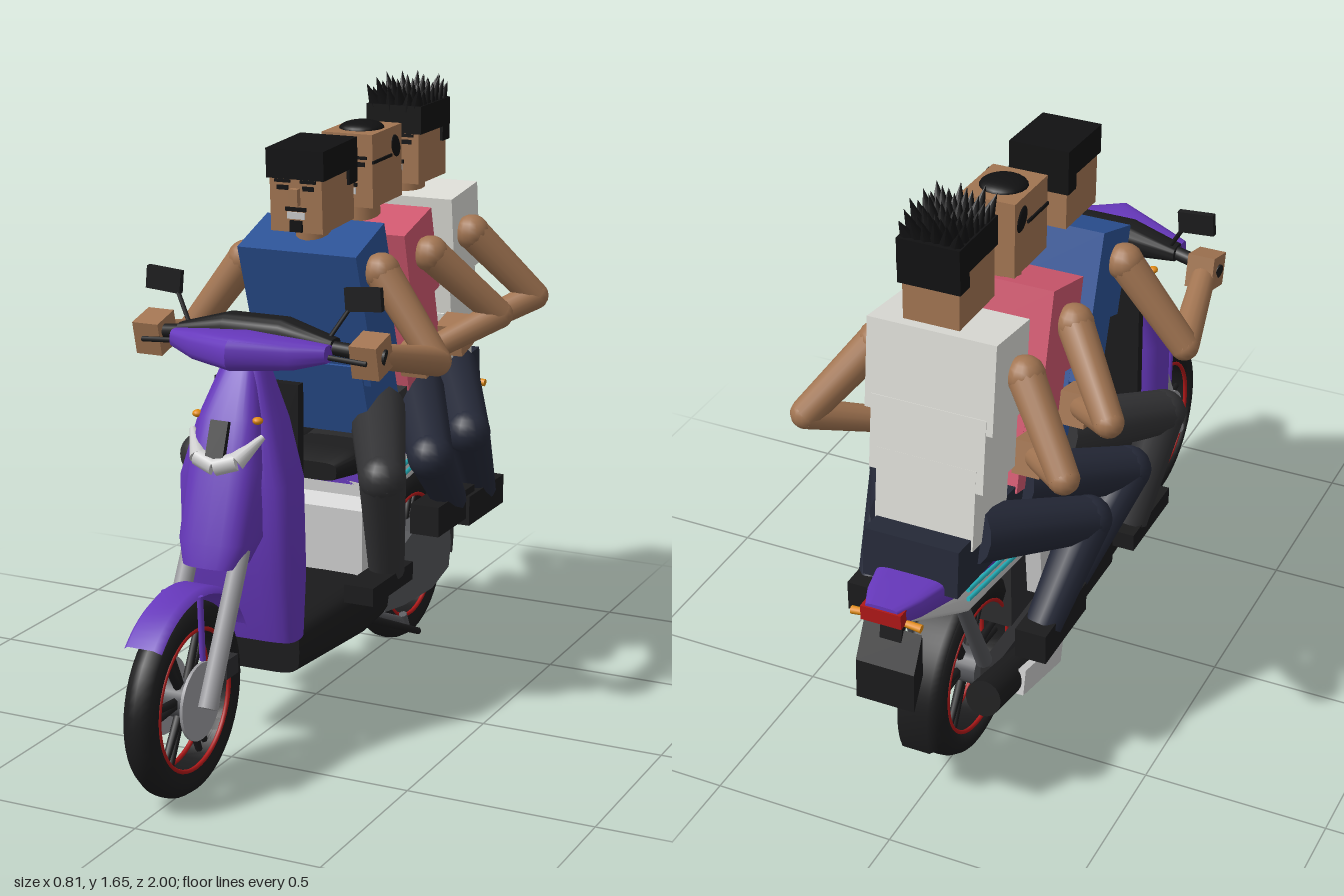
import * as THREE from 'three';
import { toCreasedNormals } from 'three/addons/utils/BufferGeometryUtils.js';

const PURPLE = 0x6638bb, BLACK = 0x1b1b1c, DARK = 0x2c2c2e, GREY = 0x55565a, STEEL = 0x9a9a9e;
const WHITE = 0xdededa, SKIN = 0xa27552, HAIR = 0x111112, NAVY = 0x252938, RED = 0xb01818, ORANGE = 0xe08a10;
const V = (x, y, z) => new THREE.Vector3(x, y, z);
const mats = {};
const mat = c => mats[c] ??= new THREE.MeshStandardMaterial({ color: c, side: THREE.DoubleSide });

function add(parent, name, geo, color, pos = [0, 0, 0], rot = [0, 0, 0]) {
  const m = new THREE.Mesh(geo, mat(color));
  m.name = name;
  m.position.set(...pos);
  m.rotation.set(...rot);
  parent.add(m);
  return m;
}
const box = (p, name, size, color, pos, rot) => add(p, name, new THREE.BoxGeometry(...size), color, pos, rot);

// Tapered cylinder from a to b
function rod(p, name, a, b, r1, r2, color, sides = 14) {
  const A = V(...a), B = V(...b), d = B.clone().sub(A);
  const m = add(p, name, new THREE.CylinderGeometry(r2, r1, d.length(), sides), color);
  m.position.copy(A.add(B).multiplyScalar(0.5));
  m.quaternion.setFromUnitVectors(V(0, 1, 0), d.normalize());
}

// Rounded-rectangle sections [t, halfWidth, v0, v1, centre] lofted along local z
function loft(sections, e = 0.5, n = 24) {
  const pos = [], idx = [];
  const pw = a => Math.sign(a) * Math.abs(a) ** e;
  for (const [t, w, v0, v1, c = 0] of sections)
    for (let i = 0; i < n; i++) {
      const a = (i / n) * Math.PI * 2;
      pos.push(c + w * pw(Math.cos(a)), (v0 + v1) / 2 + (v1 - v0) / 2 * pw(Math.sin(a)), t);
    }
  const last = (sections.length - 1) * n;
  for (let i = 0; i < n; i++) {
    const j = (i + 1) % n;
    for (let k = 0; k < last; k += n) idx.push(k + i, k + j, k + n + j, k + i, k + n + j, k + n + i);
    if (i > 0 && i < n - 1) idx.push(0, i + 1, i, last, last + i, last + i + 1);
  }
  const g = new THREE.BufferGeometry();
  g.setAttribute('position', new THREE.Float32BufferAttribute(pos, 3));
  g.setIndex(idx);
  return toCreasedNormals(g, 0.7);
}
// Loft upwards: sections [y, halfWidth, zFront, zBack]
const loftUp = (s, e) => loft(s.map(([y, w, f, b]) => [y, w, -f, -b]), e).rotateX(-Math.PI / 2);
// Loft across x: sections [x, halfDepth, y0, y1, z]
const loftAcross = s => loft(s.map(([x, w, a, b, z]) => [x, w, a, b, -z]), 0.7).rotateY(Math.PI / 2);
// Side outline of [z, y] points extruded across x
function plate(pts, x0, x1) {
  const s = new THREE.Shape(pts.map(([z, y]) => new THREE.Vector2(-z, y)));
  return new THREE.ExtrudeGeometry(s, { depth: x1 - x0, bevelEnabled: false }).rotateY(Math.PI / 2).translate(x0, 0, 0);
}
// Curved mudguard around an axle, angles measured upwards from the front
function guard(r, w, a0, a1) {
  const prof = [[-w, -0.018], [-w * 0.7, 0], [w * 0.7, 0], [w, -0.018]].map(([x, y]) => new THREE.Vector2(r + y, x));
  return new THREE.LatheGeometry(prof, 24, a0, a1 - a0).rotateZ(Math.PI / 2);
}

function wheel(p, name, z, w) {
  const g = new THREE.Group();
  g.name = name;
  g.position.set(0, 0.255, z);
  p.add(g);
  const tyre = [[0.185, -w * 0.8], [0.21, -w], [0.235, -w * 0.85], [0.248, -w * 0.4], [0.25, 0],
    [0.248, w * 0.4], [0.235, w * 0.85], [0.21, w], [0.185, w * 0.8], [0.185, -w * 0.8]];
  add(g, 'tyre', new THREE.LatheGeometry(tyre.map(q => new THREE.Vector2(...q)), 48).rotateZ(Math.PI / 2), BLACK);
  for (const s of [-1, 1])
    add(g, 'rimStripe', new THREE.TorusGeometry(0.18, 0.006, 6, 48), RED, [s * w * 0.75, 0, 0], [0, Math.PI / 2, 0]);
  add(g, 'rim', new THREE.CylinderGeometry(0.185, 0.185, w * 1.5, 48, 1, true).rotateZ(Math.PI / 2), BLACK);
  add(g, 'hub', new THREE.CylinderGeometry(0.05, 0.05, w * 2, 20).rotateZ(Math.PI / 2), GREY);
  for (let i = 0; i < 12; i++) {
    const a = (Math.floor(i / 2) / 6) * Math.PI * 2 + (i % 2 ? 0.09 : -0.09);
    rod(g, 'spoke', [0, 0.04 * Math.sin(a), 0.04 * Math.cos(a)], [0, 0.182 * Math.sin(a), 0.182 * Math.cos(a)], 0.012, 0.009, BLACK, 6);
  }
  return g;
}

function buildScooter(p) {
  // Front end
  const fw = wheel(p, 'frontWheel', 0.75, 0.042);
  for (const x of [-0.048, 0.048])
    add(fw, 'brakeDisc', new THREE.CylinderGeometry(0.1, 0.1, 0.008, 28).rotateZ(Math.PI / 2), STEEL, [x, 0, 0]);
  add(p, 'frontMudguard', guard(0.288, 0.052, 0.76, 2.72), PURPLE, [0, 0.255, 0.75]);
  box(p, 'brakeCaliper', [0.03, 0.05, 0.06], DARK, [0.06, 0.31, 0.63]);
  for (const s of [-1, 1]) {
    rod(p, 'forkLeg', [s * 0.07, 0.24, 0.755], [s * 0.07, 0.6, 0.57], 0.026, 0.024, STEEL);
    rod(p, 'mudguardStay', [s * 0.05, 0.36, 0.74], [s * 0.05, 0.53, 0.75], 0.008, 0.008, PURPLE);
  }
  add(p, 'legShield', loftUp([[0.32, 0.15, 0.455, 0.35], [0.5, 0.16, 0.5, 0.34], [0.75, 0.155, 0.52, 0.34],
    [0.9, 0.11, 0.5, 0.34], [1.04, 0.055, 0.45, 0.36]]), PURPLE);
  add(p, 'noseCowl', loftUp([[0.56, 0.08, 0.64, 0.5], [0.62, 0.1, 0.63, 0.45], [0.8, 0.1, 0.575, 0.4],
    [0.92, 0.085, 0.535, 0.4], [1.04, 0.045, 0.46, 0.38]], 0.65), PURPLE);
  box(p, 'innerPanel', [0.24, 0.66, 0.03], BLACK, [0, 0.65, 0.335]);
  box(p, 'noseGrille', [0.05, 0.12, 0.03], BLACK, [0, 0.86, 0.555], [-0.35, 0, 0]);
  for (const s of [-1, 1]) {
    rod(p, 'headlightInner', [0, 0.808, 0.572], [s * 0.055, 0.825, 0.56], 0.024, 0.024, WHITE);
    rod(p, 'headlightOuter', [s * 0.052, 0.824, 0.56], [s * 0.1, 0.88, 0.505], 0.025, 0.008, WHITE);
    add(p, 'frontIndicator', new THREE.SphereGeometry(0.014, 12, 8).scale(1, 0.7, 1), ORANGE, [s * 0.085, 0.92, 0.505]);
  }
  // Handlebar and mirrors
  add(p, 'handlebarCowl', loftAcross([[-0.22, 0.025, 1.055, 1.1, 0.38], [-0.14, 0.05, 1.035, 1.11, 0.4],
    [0, 0.08, 1.03, 1.125, 0.44], [0.14, 0.05, 1.035, 1.11, 0.4], [0.22, 0.025, 1.055, 1.1, 0.38]]), PURPLE);
  add(p, 'dashboard', loftAcross([[-0.22, 0.03, 1.07, 1.11, 0.34], [-0.08, 0.05, 1.06, 1.15, 0.34],
    [0.08, 0.05, 1.06, 1.15, 0.34], [0.22, 0.03, 1.07, 1.11, 0.34]]), BLACK);
  for (const s of [-1, 1]) {
    rod(p, 'handGrip', [s * 0.18, 1.09, 0.35], [s * 0.35, 1.07, 0.32], 0.018, 0.02, BLACK);
    rod(p, 'mirrorStem', [s * 0.19, 1.09, 0.34], [s * 0.25, 1.19, 0.31], 0.006, 0.006, BLACK, 8);
    box(p, 'mirror', [0.1, 0.06, 0.018], BLACK, [s * 0.285, 1.21, 0.31], [0, 0, s * 0.08]);
    rod(p, 'brakeLever', [s * 0.2, 1.07, 0.38], [s * 0.32, 1.06, 0.37], 0.007, 0.007, BLACK, 8);
  }
  // Floor, engine and body panels
  add(p, 'floorboard', loft([[-0.2, 0.13, 0.19, 0.345], [0, 0.155, 0.195, 0.35], [0.405, 0.15, 0.22, 0.35]], 0.4), BLACK);
  add(p, 'underseatPanel', plate([[-0.06, 0.34], [-0.06, 0.53], [-0.13, 0.58], [-0.32, 0.58], [-0.3, 0.34]], -0.11, 0.11), WHITE);
  box(p, 'engineBlock', [0.13, 0.25, 0.2], DARK, [0, 0.41, -0.3]);
  add(p, 'driveCover', plate([[-0.17, 0.21], [-0.17, 0.33], [-0.36, 0.39], [-0.56, 0.38], [-0.62, 0.35], [-0.635, 0.28],
    [-0.62, 0.21], [-0.5, 0.18], [-0.3, 0.19]], 0.055, 0.13), GREY);
  box(p, 'swingArm', [0.04, 0.06, 0.36], DARK, [-0.08, 0.26, -0.4]);
  wheel(p, 'rearWheel', -0.55, 0.05);
  add(p, 'rearMudguard', guard(0.3, 0.055, 1.8, 3.4), BLACK, [0, 0.255, -0.55]);
  add(p, 'whiteFairing', loft([[-0.95, 0.04, 0.67, 0.7], [-0.74, 0.115, 0.575, 0.69], [-0.3, 0.13, 0.54, 0.63],
    [-0.1, 0.1, 0.53, 0.6]], 0.4), WHITE);
  add(p, 'tailFairing', loft([[-0.99, 0.045, 0.69, 0.74], [-0.92, 0.075, 0.675, 0.74], [-0.8, 0.105, 0.655, 0.735],
    [-0.5, 0.13, 0.625, 0.7], [-0.1, 0.1, 0.59, 0.66]], 0.4), PURPLE);
  add(p, 'seat', loft([[-0.76, 0.09, 0.68, 0.75], [-0.4, 0.12, 0.64, 0.74], [-0.05, 0.11, 0.63, 0.71], [0.02, 0.07, 0.63, 0.68]]), BLACK);
  for (const s of [-1, 1]) {
    for (const dy of [-0.014, 0.014])
      rod(p, 'sideStripe', [s * 0.13, 0.59 + dy, -0.27], [s * 0.119, 0.655 + dy, -0.76], 0.007, 0.006, 0x25b5c0, 6);
    rod(p, 'rearShock', [s * 0.09, 0.34, -0.62], [s * 0.09, 0.6, -0.74], 0.022, 0.018, GREY);
    rod(p, 'rearIndicator', [s * 0.04, 0.69, -0.965], [s * 0.095, 0.685, -0.965], 0.009, 0.011, ORANGE, 10);
    rod(p, 'centreStandLeg', [s * 0.06, 0.21, -0.15], [s * 0.09, 0.12, -0.36], 0.012, 0.012, GREY, 8);
    rod(p, 'centreStandFoot', [s * 0.1, 0.14, -0.36], [s * 0.1, 0.1, -0.38], 0.012, 0.012, GREY, 8);
  }
  rod(p, 'centreStandBar', [-0.1, 0.12, -0.36], [0.1, 0.12, -0.36], 0.012, 0.012, GREY, 8);
  rod(p, 'sideStand', [0.12, 0.21, -0.1], [0.175, 0.12, -0.3], 0.012, 0.01, BLACK, 8);
  box(p, 'tailLight', [0.11, 0.04, 0.03], RED, [0, 0.71, -0.98]);
  add(p, 'numberPlate', plate([[-0.935, 0.64], [-0.938, 0.52], [-0.99, 0.44], [-0.985, 0.55]], -0.08, 0.08), BLACK);
  box(p, 'plateBracket', [0.06, 0.1, 0.02], BLACK, [0, 0.64, -0.935], [0.2, 0, 0]);
  // Exhaust
  rod(p, 'exhaustPipe', [-0.08, 0.22, -0.15], [-0.17, 0.27, -0.42], 0.018, 0.02, DARK);
  rod(p, 'muffler', [-0.175, 0.29, -0.42], [-0.18, 0.385, -0.81], 0.042, 0.048, BLACK, 18);
  box(p, 'heatShield', [0.02, 0.07, 0.24], WHITE, [-0.222, 0.325, -0.56], [0.24, 0, 0]);
}

// Head with face; hair differs per rider
function head(p, r) {
  const g = new THREE.Group();
  g.name = 'head';
  g.position.set(0, r.head[1], r.head[0]);
  g.rotation.x = r.nod;
  p.add(g);
  box(g, 'skull', [0.15, 0.2, 0.19], SKIN);
  rod(g, 'neck', [0, -0.17, -0.005], [0, -0.08, 0], 0.048, 0.048, SKIN);
  box(g, 'nose', [0.025, 0.045, 0.02], SKIN, [0, -0.005, 0.103]);
  box(g, 'mouth', [0.05, 0.018, 0.006], 0xe8e8e8, [0, -0.055, 0.096]);
  box(g, 'moustache', [0.06, 0.01, 0.008], HAIR, [0, -0.038, 0.097]);
  box(g, 'goatee', [0.035, 0.03, 0.01], HAIR, [0, -0.083, 0.097]);
  for (const s of [-1, 1]) {
    box(g, 'eyebrow', [0.045, 0.008, 0.008], HAIR, [s * 0.037, 0.036, 0.097]);
    box(g, 'eye', [0.032, 0.012, 0.006], HAIR, [s * 0.037, 0.018, 0.096]);
  }
  if (r.hair === 'cap') {
    add(g, 'hairPatch', new THREE.SphereGeometry(0.062, 20, 10, 0, Math.PI * 2, 0, Math.PI / 2).scale(1, 0.35, 1), HAIR, [0, 0.099, 0]);
    for (const s of [-1, 1]) {
      add(g, 'sideHair', new THREE.SphereGeometry(0.035, 14, 10).scale(0.2, 1, 0.7), HAIR, [s * 0.075, 0.045, -0.055], [0.6, 0, 0]);
      box(g, 'glassesArm', [0.006, 0.008, 0.12], HAIR, [s * 0.077, 0.025, 0.035]);
    }
    return;
  }
  box(g, 'hair', [0.166, 0.078, 0.205], HAIR, [0, 0.08, -0.004]);
  box(g, 'backHair', [0.166, 0.06, 0.05], HAIR, [0, 0.03, -0.08]);
  if (r.hair === 'spikes')
    for (let i = 0; i < 42; i++) {
      const x = (i % 6 - 2.5) * 0.028, z = (Math.floor(i / 6) - 3) * 0.03, h = 0.06 + (i * 7 % 5) * 0.007;
      add(g, 'hairSpike', new THREE.ConeGeometry(0.022, h, 6), HAIR, [x, 0.105 + h / 2, z], [z * 4, 0, -x * 4]);
    }
}

function buildRider(p, r) {
  // Torso leans about the hip
  const t = new THREE.Group();
  t.name = 'torso';
  t.position.set(0, 0.77, r.hip);
  t.rotation.x = r.lean;
  p.add(t);
  const L = r.length;
  box(t, 'chest', [0.345, 0.24, 0.185], r.shirt, [0, L - 0.12, 0]);
  box(t, 'waist', [0.31, 0.2, 0.183], r.shirt, [0, L - 0.3, -0.003]);
  box(t, 'shirtHem', [0.27, L - 0.35, 0.19], r.shirt, [0, (L - 0.35) / 2 + 0.01, 0]);
  box(p, 'pelvis', [0.26, 0.13, 0.2], r.trousers, [0, 0.755, r.hip - 0.065], [0.1, 0, 0]);
  head(p, r);
  for (const s of [-1, 1]) {
    const m = ([x, y, z]) => [s * x, y, z];
    // Arm
    add(p, 'shoulder', new THREE.SphereGeometry(0.05, 14, 10), SKIN, m(r.shoulder));
    rod(p, 'upperArm', m(r.shoulder), m(r.elbow), 0.048, 0.04, SKIN);
    add(p, 'elbow', new THREE.SphereGeometry(0.04, 14, 10), SKIN, m(r.elbow));
    rod(p, 'forearm', m(r.elbow), m(r.hand), 0.04, 0.032, SKIN);
    box(p, 'hand', [0.075, 0.09, 0.09], SKIN, m(r.hand), [0.25, 0, 0]);
    // Leg
    rod(p, 'thigh', [s * 0.1, 0.79, r.hip - 0.02], m(r.knee), 0.078, 0.062, r.trousers);
    add(p, 'knee', new THREE.SphereGeometry(0.063, 16, 12), r.trousers, m(r.knee));
    rod(p, 'shin', m(r.knee), m(r.ankle), 0.062, 0.048, r.trousers);
    box(p, 'shoe', [0.085, r.sole, 0.255], BLACK, [s * r.ankle[0], r.ankle[1] - 0.015, r.ankle[2] + 0.05]);
  }
}

const RIDERS = [
  { name: 'frontRider', shirt: 0x2c5296, trousers: 0x323234, hip: -0.155, lean: 0.34, length: 0.565, hair: 'flat', head: [0.025, 1.428], nod: 0.06, sole: 0.05,
    shoulder: [0.2, 1.22, 0.02], elbow: [0.365, 1.0, 0.035], hand: [0.31, 1.07, 0.32], knee: [0.265, 0.7, 0.15], ankle: [0.225, 0.405, 0.03] },
  { name: 'middleRider', shirt: 0xd0586f, trousers: NAVY, hip: -0.42, lean: 0.27, length: 0.55, hair: 'cap', head: [-0.285, 1.445], nod: 0.04, sole: 0.085,
    shoulder: [0.2, 1.21, -0.3], elbow: [0.35, 1.03, -0.43], hand: [0.19, 0.935, -0.25], knee: [0.28, 0.69, -0.13], ankle: [0.23, 0.495, -0.385] },
  { name: 'rearRider', shirt: 0xdcdcd6, trousers: NAVY, hip: -0.67, lean: 0.13, length: 0.57, hair: 'spikes', head: [-0.59, 1.462], nod: 0.02, sole: 0.085,
    shoulder: [0.2, 1.22, -0.59], elbow: [0.35, 1.03, -0.7], hand: [0.185, 0.94, -0.51], knee: [0.28, 0.695, -0.39], ankle: [0.24, 0.475, -0.58] },
];

export function createModel() {
  const root = new THREE.Group();
  const scooter = new THREE.Group();
  scooter.name = 'scooter';
  root.add(scooter);
  buildScooter(scooter);
  for (const r of RIDERS) {
    const g = new THREE.Group();
    g.name = r.name;
    root.add(g);
    buildRider(g, r);
  }
  return root;
}
